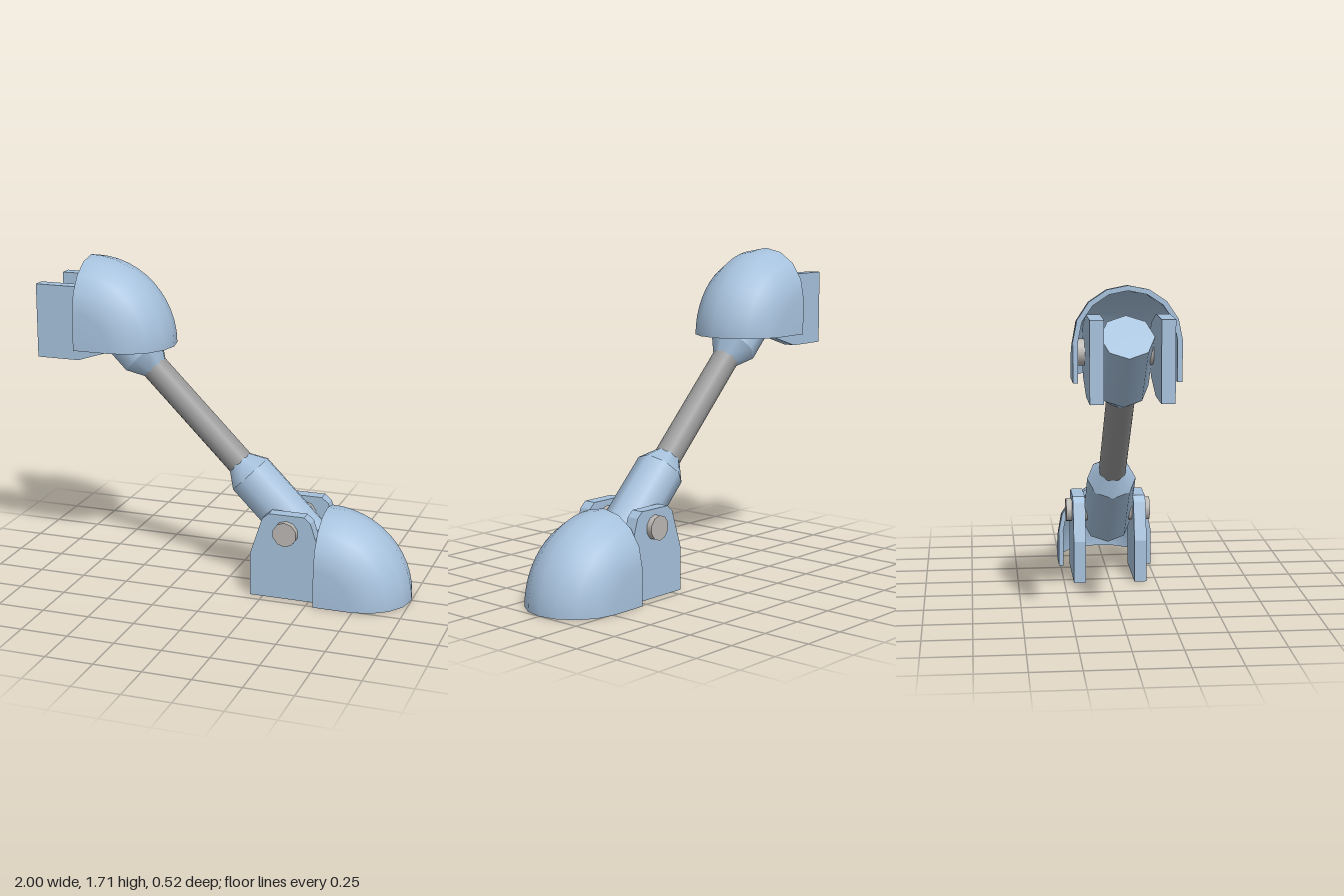
import * as THREE from 'three';

const blue = new THREE.MeshStandardMaterial({ color: 0xa6c1dc, side: THREE.DoubleSide });
const rodGrey = new THREE.MeshStandardMaterial({ color: 0x999999 });
const pinGrey = new THREE.MeshStandardMaterial({ color: 0xbcb8b4 });

function add(parent, name, geometry, material) {
  const mesh = new THREE.Mesh(geometry, material);
  mesh.name = name;
  parent.add(mesh);
  return mesh;
}

// Half-round arch section: x is the distance from the hinge axis, y runs along it
function archProfile(radius) {
  const points = [new THREE.Vector2(0, -radius)];
  for (let i = 0; i <= 8; i++) {
    const a = -Math.PI / 2 + (i * Math.PI) / 8;
    points.push(new THREE.Vector2(0.2 + radius * Math.cos(a), radius * Math.sin(a)));
  }
  points.push(new THREE.Vector2(0, radius));
  return points;
}

// Hollow quarter-turn cover, swept about the z axis from +x to +y
function makeCover(name) {
  const cover = new THREE.Group();
  cover.name = name;
  const outer = archProfile(0.26);
  const inner = archProfile(0.235);
  for (const [label, profile] of [['coverOuter', outer], ['coverInner', inner]]) {
    const shell = new THREE.LatheGeometry(profile, 12, 0, Math.PI / 2);
    // lathe sweeps z -> x; stand its axis along z, then turn into the +x +y quadrant
    shell.rotateX(Math.PI / 2);
    shell.rotateZ(Math.PI / 2);
    add(cover, label, shell, blue);
  }
  // rims closing the gap between both shells
  const rim = new THREE.ShapeGeometry(new THREE.Shape([...outer, ...inner.slice().reverse()]));
  rim.rotateX(Math.PI / 2);
  add(cover, 'bottomRim', rim, blue);
  add(cover, 'backRim', rim.clone().rotateZ(Math.PI / 2), blue);
  return cover;
}

// Pair of lug plates with a pin through them, base on y = 0
function makeBracket(name) {
  const bracket = new THREE.Group();
  bracket.name = name;
  const half = [[0.195, 0], [0.195, 0.23], [0.13, 0.43], [0.095, 0.46]];
  const outline = [...half, ...half.map(([x, y]) => [-x, y]).reverse()];
  const shape = new THREE.Shape(outline.map(([x, y]) => new THREE.Vector2(x, y)));
  for (const [label, z] of [['frontLug', 0.132], ['backLug', -0.198]]) {
    const plate = new THREE.ExtrudeGeometry(shape, { depth: 0.066, bevelEnabled: false });
    add(bracket, label, plate.translate(0, 0, z), blue);
  }
  const pin = new THREE.CylinderGeometry(0.065, 0.065, 0.46, 10);
  add(bracket, 'pin', pin.rotateX(Math.PI / 2).translate(0, 0.365, 0), pinGrey);
  return bracket;
}

// Tapered cylinder between two heights along the strut
function section(parent, name, y0, y1, r0, r1, sides, material) {
  const geometry = new THREE.CylinderGeometry(r1, r0, y1 - y0, sides);
  add(parent, name, geometry.translate(0, (y0 + y1) / 2, 0), material);
}

export function createModel() {
  const model = new THREE.Group();
  model.name = 'hingedStrut';

  const lowerCover = makeCover('lowerCover');
  lowerCover.position.set(0.54, 0, 0);
  const upperCover = makeCover('upperCover');
  upperCover.position.set(-0.77, 1.25, 0);

  const lowerBracket = makeBracket('lowerBracket');
  lowerBracket.position.set(0.375, 0, 0);
  const upperBracket = makeBracket('upperBracket');
  upperBracket.rotation.z = -Math.PI / 2;
  upperBracket.position.set(-1, 1.38, 0);

  // Diagonal strut: two sockets joined by a round rod
  const strut = new THREE.Group();
  strut.name = 'strut';
  section(strut, 'lowerSocket', -0.11, 0.34, 0.13, 0.13, 8, blue);
  section(strut, 'lowerCollar', 0.34, 0.43, 0.13, 0.07, 8, blue);
  section(strut, 'rod', 0.4, 1.12, 0.072, 0.072, 16, rodGrey);
  section(strut, 'upperCollar', 1.085, 1.18, 0.07, 0.13, 8, blue);
  section(strut, 'upperSocket', 1.18, 1.57, 0.13, 0.13, 8, blue);
  strut.rotation.z = Math.PI / 4;
  strut.position.set(0.355, 0.355, 0);

  model.add(lowerCover, upperCover, lowerBracket, upperBracket, strut);
  return model;
}
